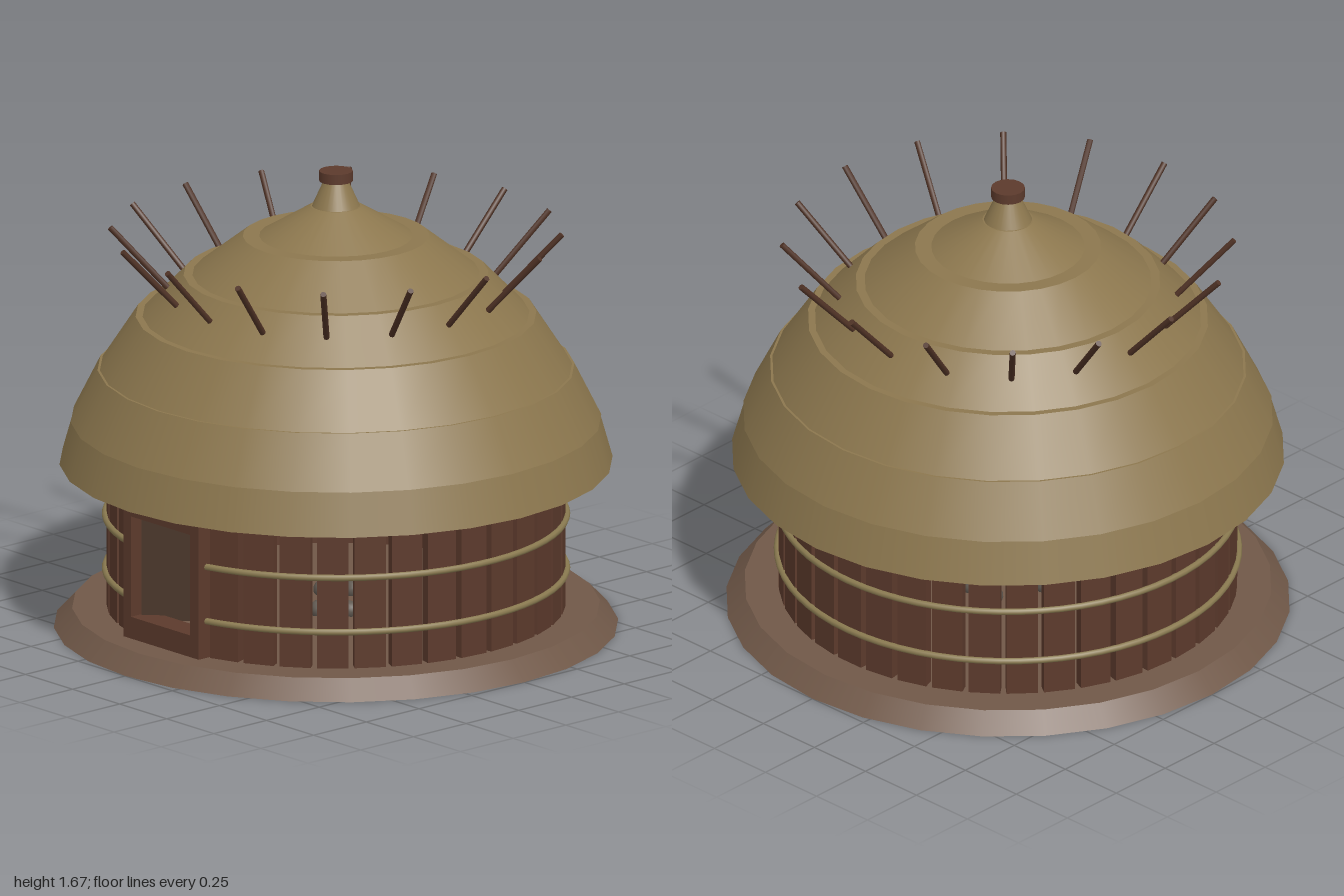
import * as THREE from 'three';

const mat = (name, color) => {
  const m = new THREE.MeshStandardMaterial({ color });
  m.name = name;
  return m;
};

export function createModel() {
  const thatch = mat('thatch', 0x8c774e);
  const wood = mat('plank wood', 0x5c3a2c);
  const darkWood = mat('door wood', 0x493629);
  const earth = mat('packed earth', 0x705848);
  const poleWood = mat('pole wood', 0x4f3225);
  const rope = mat('rope', 0x8a7a50);
  const stone = mat('hearth stone', 0x5f5850);

  const model = new THREE.Group();
  model.name = 'roundHut';
  const SIDES = 28;

  const add = (name, geometry, material, parent = model) => {
    const mesh = new THREE.Mesh(geometry, material);
    mesh.name = name;
    parent.add(mesh);
    return mesh;
  };
  const group = (name) => {
    const g = new THREE.Group();
    g.name = name;
    model.add(g);
    return g;
  };
  // closed cone section from y0 to y1
  const frustum = (r0, y0, r1, y1) =>
    new THREE.CylinderGeometry(r1, r0, y1 - y0, SIDES).translate(0, (y0 + y1) / 2, 0);

  // sloped earth platform
  add('platform', frustum(1, 0, 0.935, 0.07), earth);

  // ring of wall planks, leaving the doorway open at the front
  const wall = group('wall');
  const PLANKS = 38;
  for (let i = 2; i <= PLANKS - 2; i++) {
    const a = (i / PLANKS) * Math.PI * 2;
    const plank = add('plank', new THREE.BoxGeometry(0.112, 0.55, 0.04), wood, wall);
    plank.position.set(Math.sin(a) * 0.79, 0.335, Math.cos(a) * 0.79);
    plank.rotation.y = a;
  }

  // rope bands, broken at the door
  const gap = 0.24;
  for (const y of [0.205, 0.405]) {
    const band = new THREE.TorusGeometry(0.817, 0.012, 8, 64, Math.PI * 2 - gap * 2);
    band.rotateX(Math.PI / 2).rotateY(-Math.PI / 2 - gap);
    add('ropeBand', band, rope).position.y = y;
  }

  // door frame with an opening
  const rect = (Type, x0, y0, x1, y1) => {
    const s = new Type();
    s.moveTo(x0, y0);
    s.lineTo(x1, y0);
    s.lineTo(x1, y1);
    s.lineTo(x0, y1);
    s.closePath();
    return s;
  };
  const frame = rect(THREE.Shape, -0.2, 0.07, 0.2, 0.565);
  frame.holes.push(rect(THREE.Path, -0.16, 0.15, 0.155, 0.52));
  add('doorFrame', new THREE.ExtrudeGeometry(frame, { depth: 0.1, bevelEnabled: false }), wood)
    .position.z = 0.73;

  // door leaf, hinged on one side and swung inward
  const leaf = new THREE.BoxGeometry(0.32, 0.41, 0.02).translate(0.16, 0, 0);
  const door = add('doorLeaf', leaf, darkWood);
  door.position.set(-0.16, 0.335, 0.78);
  door.rotation.y = Math.PI / 4;

  // small hearth inside
  const hearth = group('hearth');
  for (let i = 0; i < 8; i++) {
    const a = ((i + 0.5) / 8) * Math.PI * 2;
    const rock = add('hearthStone', new THREE.IcosahedronGeometry(0.035, 1), stone, hearth);
    rock.position.set(Math.sin(a) * 0.14, 0.088, Math.cos(a) * 0.14);
  }

  // stacked thatch layers: lower radius, lower y, upper radius, upper y
  const roof = group('roof');
  const layers = [
    [0.98, 0.6, 0.935, 0.76],
    [0.94, 0.755, 0.845, 0.945],
    [0.84, 0.94, 0.71, 1.14],
    [0.69, 1.135, 0.54, 1.29],
    [0.515, 1.285, 0.33, 1.43],
    [0.28, 1.425, 0.09, 1.54],
    [0.087, 1.535, 0.04, 1.64],
  ];
  for (const layer of layers) add('thatchLayer', frustum(...layer), thatch, roof);
  add('roofCap', new THREE.CylinderGeometry(0.06, 0.06, 0.037, 16), wood, roof)
    .position.y = 1.65;

  // poles poking out around the roof
  const poles = group('roofPoles');
  const from = new THREE.Vector2(0.59, 1.22);
  const to = new THREE.Vector2(0.8, 1.445);
  const along = to.clone().sub(from);
  for (let i = 0; i < 16; i++) {
    const arm = new THREE.Group();
    arm.name = 'poleArm';
    arm.rotation.y = (i / 16) * Math.PI * 2;
    poles.add(arm);
    const pole = add('pole', new THREE.CylinderGeometry(0.011, 0.011, along.length(), 8), poleWood, arm);
    pole.position.set((from.x + to.x) / 2, (from.y + to.y) / 2, 0);
    pole.rotation.z = -Math.atan2(along.x, along.y);
  }

  return model;
}
